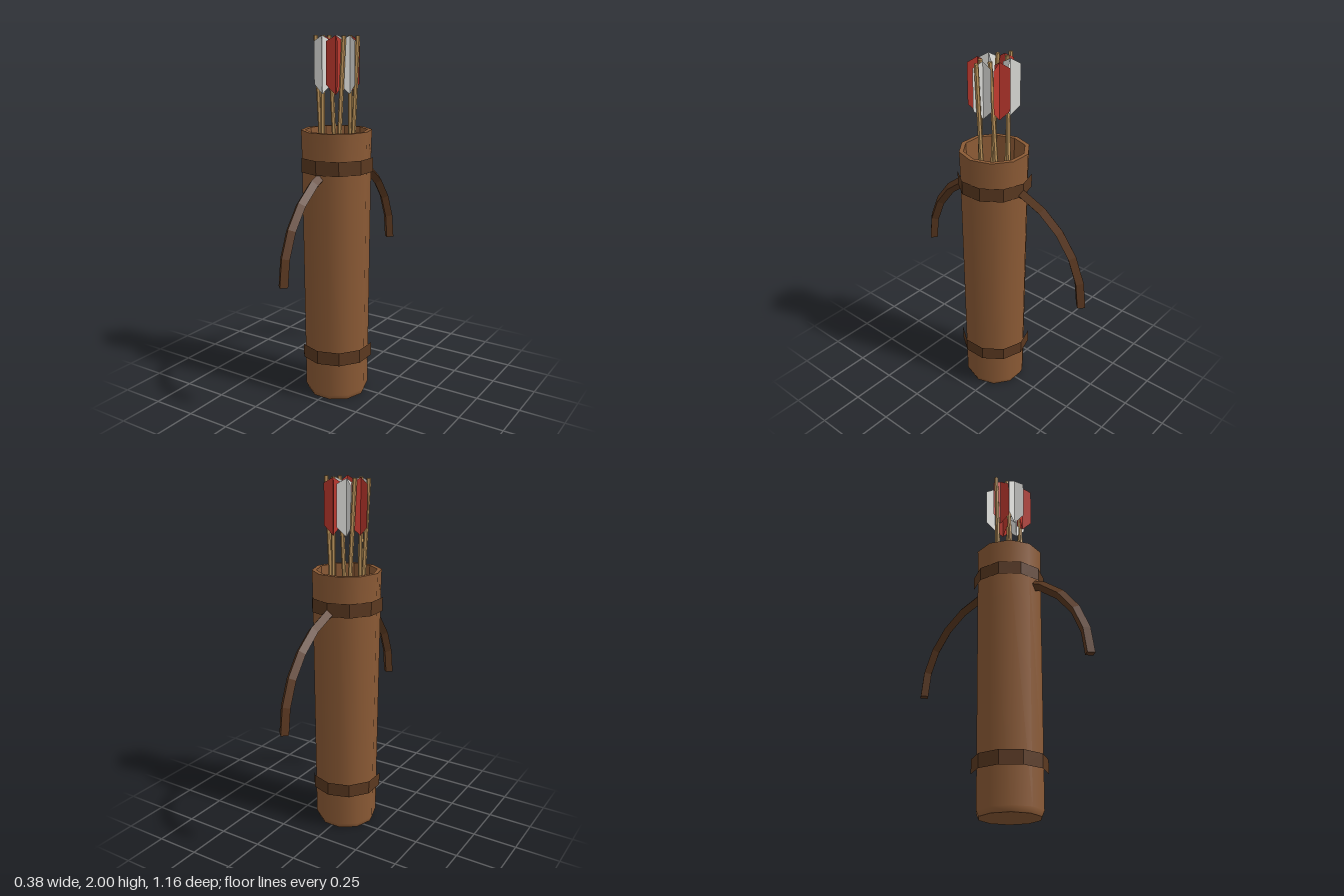
import * as THREE from 'three';

const mat = (name, color, side = THREE.FrontSide) => {
  const m = new THREE.MeshStandardMaterial({ color, side });
  m.name = name;
  return m;
};

export function createModel() {
  const leather = mat('leather', 0x8b5a35);
  const darkLeather = mat('dark leather', 0x5a3820);
  const wood = mat('shaft wood', 0xc49a5f);
  const red = mat('red feather', 0xc0392f, THREE.DoubleSide);
  const white = mat('white feather', 0xe8e8e4, THREE.DoubleSide);

  const model = new THREE.Group();
  model.name = 'quiver';
  const quiver = new THREE.Group();
  quiver.name = 'quiverWithArrows';
  quiver.position.z = 0.053;
  model.add(quiver);

  const add = (parent, name, geometry, material) => {
    const mesh = new THREE.Mesh(geometry, material);
    mesh.name = name;
    parent.add(mesh);
    return mesh;
  };
  const faceted = (geometry) => {
    const g = geometry.toNonIndexed();
    g.computeVertexNormals();
    return g;
  };
  const SIDES = 10;
  const lathe = (points) => new THREE.LatheGeometry(
    points.map(([r, y]) => new THREE.Vector2(r, y)), SIDES, Math.PI / SIDES);

  // Ten-sided tube: base, softly shaded wall, rim and lining
  add(quiver, 'base', lathe([[0, 0], [0.165, 0]]), leather);
  add(quiver, 'outerWall', lathe([[0.165, 0], [0.178, 0.03], [0.187, 1.37], [0.19, 1.51]]), leather);
  add(quiver, 'rim', lathe([[0.19, 1.51], [0.166, 1.51]]), leather);
  add(quiver, 'lining', faceted(lathe([[0.166, 1.51], [0.147, 0.9]])), leather);
  add(quiver, 'floor', lathe([[0.147, 0.9], [0, 0.9]]), leather);

  // Two open bands around the tube
  for (const [name, y] of [['lowerBand', 0.262], ['upperBand', 1.33]]) {
    const band = new THREE.CylinderGeometry(0.2, 0.2, 0.077, SIDES, 1, true);
    add(quiver, name, faceted(band), darkLeather).position.y = y;
  }

  // Carrying strap: half ring with a diamond section and closed ends
  const strap = new THREE.Group();
  strap.name = 'strap';
  strap.position.y = 0.77;
  model.add(strap);
  const arc = new THREE.TorusGeometry(0.55, 0.03, 4, 12, Math.PI);
  arc.rotateY(Math.PI / 2);
  add(strap, 'strapArc', faceted(arc), darkLeather);
  for (const s of [-1, 1]) {
    const end = new THREE.CircleGeometry(0.03, 4);
    end.rotateX(Math.PI / 2);
    add(strap, 'strapEnd', end, darkLeather).position.z = s * 0.55;
  }

  // One feather vane, reaching out along +x
  const vane = new THREE.ShapeGeometry(new THREE.Shape([
    new THREE.Vector2(0, 1.7), new THREE.Vector2(0.053, 1.75),
    new THREE.Vector2(0.053, 1.97), new THREE.Vector2(0, 2),
  ]));

  // Six leaning arrows in a ring, feathers alternating white and red
  const RING = 0.083, LEAN = 0.05, SHIFT = 0.39 * LEAN;
  const up = new THREE.Vector3(0, 1, 0);
  for (let i = 0; i < 6; i++) {
    const a = i * Math.PI / 3, c = Math.cos(a), s = Math.sin(a);
    const arrow = new THREE.Group();
    arrow.name = 'arrow';
    quiver.add(arrow);

    const shaft = add(arrow, 'shaft', faceted(new THREE.CylinderGeometry(0.012, 0.012, 1.098, 6)), wood);
    shaft.position.set(c * (RING + SHIFT), 1.45, s * (RING - SHIFT));
    shaft.quaternion.setFromUnitVectors(up, new THREE.Vector3(LEAN * c, 1, -LEAN * s).normalize());

    for (let k = 0; k < 3; k++) {
      const feather = add(arrow, 'feather', vane, i % 2 ? red : white);
      feather.position.set(c * RING, 0, s * RING);
      feather.rotation.y = -THREE.MathUtils.degToRad(30 + 16.5 * i + 120 * k);
    }
  }
  return model;
}
